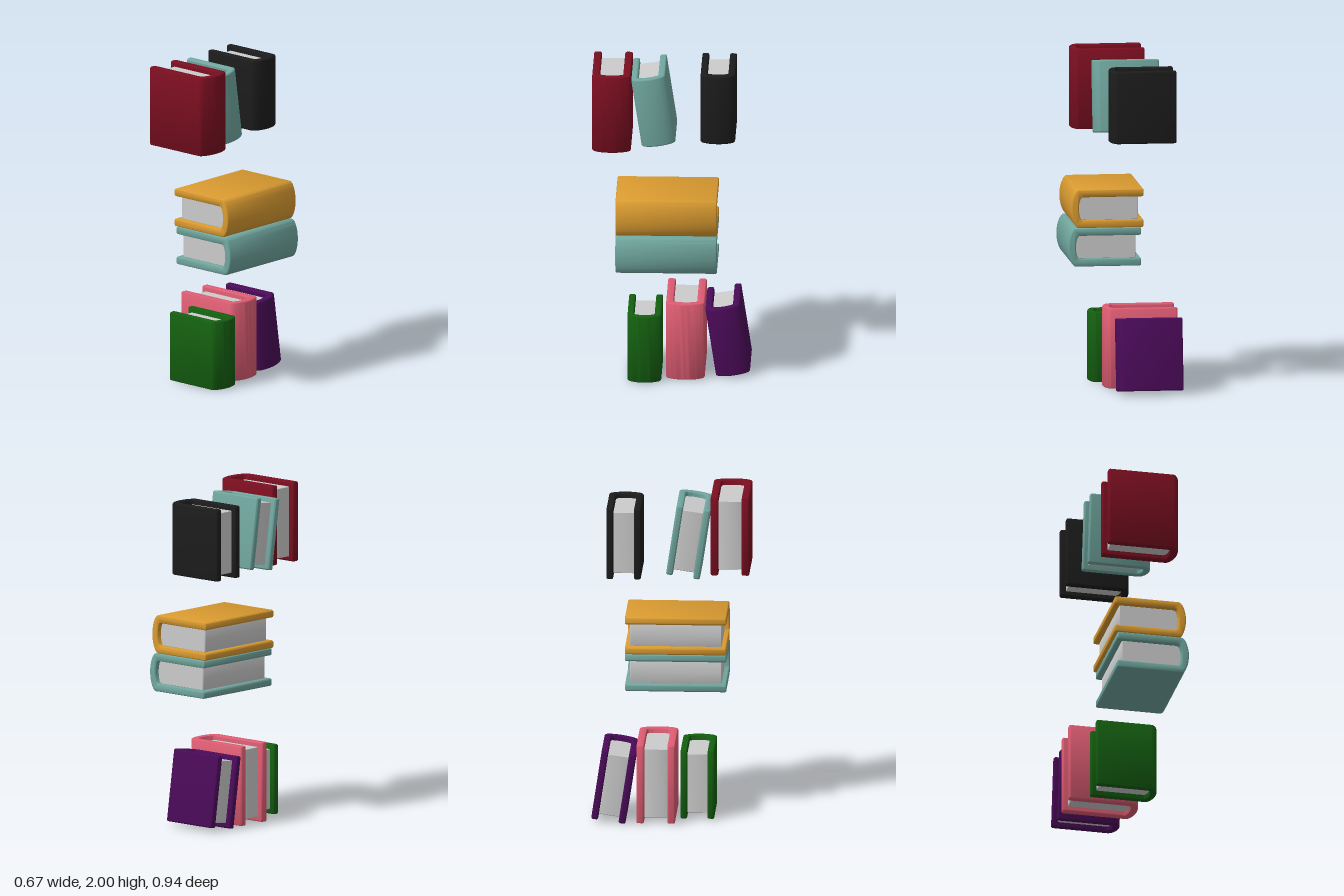
import * as THREE from 'three';
import { toCreasedNormals } from 'three/addons/utils/BufferGeometryUtils.js';

const PAPER = 0xcccccc;
const BEVEL = 0.01;

// Upper half of an outline, followed by its mirror image below the x axis
function mirrored(path) {
  const pts = path.getPoints(6);
  const lower = pts.slice().reverse().map(p => new THREE.Vector2(p.x, -p.y));
  return pts.concat(lower).filter((p, i, a) => i === 0 || p.distanceTo(a[i - 1]) > 1e-5);
}

// Extrudes an outline along y, centred, with rounded rims
function extrudeUp(points, height, bevel, segments) {
  const geo = new THREE.ExtrudeGeometry(new THREE.Shape(points), {
    depth: height - 2 * bevel,
    bevelEnabled: true, bevelSize: bevel, bevelThickness: bevel,
    bevelOffset: -bevel, bevelSegments: segments,
  });
  geo.translate(0, 0, bevel - height / 2);
  geo.rotateX(-Math.PI / 2);
  return toCreasedNormals(geo, 0.7);
}

// One hardback: spine at +x, thickness along z, height along y
function makeBook({ name, color, x0, x1, y, z, height, thick, tilt = 0 }) {
  const L = (x1 - x0) / 2, h = thick / 2;
  const t = thick * 0.2, ih = h - t, ib = L - t, r = 0.013;

  // Cover outline: inside of the spine, board edge, outside of the spine
  const c = new THREE.Path();
  c.moveTo(ib, 0);
  c.quadraticCurveTo(ib, ih * 0.4, ib - 0.007, ih * 0.7);
  c.quadraticCurveTo(ib - 0.011, ih, ib - 0.03, ih);
  c.lineTo(-L + r, ih);
  c.quadraticCurveTo(-L, ih, -L, ih + r);
  c.lineTo(-L, h - r);
  c.quadraticCurveTo(-L, h, -L + r, h);
  c.lineTo(L - 0.047, h);
  c.quadraticCurveTo(L - 0.033, h, L - 0.02, h * 0.8);
  c.quadraticCurveTo(L, h * 0.45, L, 0);

  // Page block outline, tucked slightly into the cover
  const e = 0.002, px = -L + 0.033;
  const p = new THREE.Path();
  p.moveTo(px, 0);
  p.lineTo(px, ih - 0.004);
  p.quadraticCurveTo(px, ih + e, px + 0.006, ih + e);
  p.lineTo(ib - 0.03, ih + e);
  p.quadraticCurveTo(ib - 0.009, ih + e, ib - 0.005, ih * 0.7);
  p.quadraticCurveTo(ib + e, ih * 0.4, ib + e, 0);

  const book = new THREE.Group();
  book.name = name;
  const parts = [
    ['cover', extrudeUp(mirrored(c), height, BEVEL, 4), color],
    ['pages', extrudeUp(mirrored(p), height - 0.06, 0.003, 1), PAPER],
  ];
  for (const [part, geo, col] of parts) {
    const mesh = new THREE.Mesh(geo, new THREE.MeshStandardMaterial({ color: col }));
    mesh.name = part;
    book.add(mesh);
  }
  book.position.set((x0 + x1) / 2, y, z);
  book.rotation.x = tilt;
  return book;
}

export function createModel() {
  const LEAN = 0.15, FLAT = Math.PI / 2;
  const books = [
    // Upper row
    { name: 'redBook', color: 0x7a0e20, x0: -0.19, x1: 0.253, y: 1.758, z: 0.354, height: 0.485, thick: 0.232 },
    { name: 'leaningTealBook', color: 0x70a69e, x0: -0.25, x1: 0.145, y: 1.735, z: 0.107, height: 0.435, thick: 0.205, tilt: LEAN },
    { name: 'blackBook', color: 0x1c1c1c, x0: -0.305, x1: 0.092, y: 1.735, z: -0.278, height: 0.438, thick: 0.207 },
    // Lying pair in the middle
    { name: 'ochreBook', color: 0xd99a30, x0: -0.12, x1: 0.317, y: 1.113, z: 0.024, height: 0.608, thick: 0.232, tilt: FLAT },
    { name: 'lyingTealBook', color: 0x70a69e, x0: -0.105, x1: 0.335, y: 0.88, z: 0.024, height: 0.608, thick: 0.232, tilt: FLAT },
    // Lower row
    { name: 'greenBook', color: 0x145f10, x0: -0.218, x1: 0.167, y: 0.221, z: 0.16, height: 0.425, thick: 0.203 },
    { name: 'pinkBook', color: 0xdd5c72, x0: -0.335, x1: 0.107, y: 0.25, z: -0.084, height: 0.485, thick: 0.232 },
    { name: 'leaningPurpleBook', color: 0x4a0a58, x0: -0.338, x1: 0.057, y: 0.234, z: -0.336, height: 0.437, thick: 0.207, tilt: LEAN },
  ];
  const model = new THREE.Group();
  model.name = 'bookStacks';
  for (const b of books) model.add(makeBook(b));
  return model;
}
